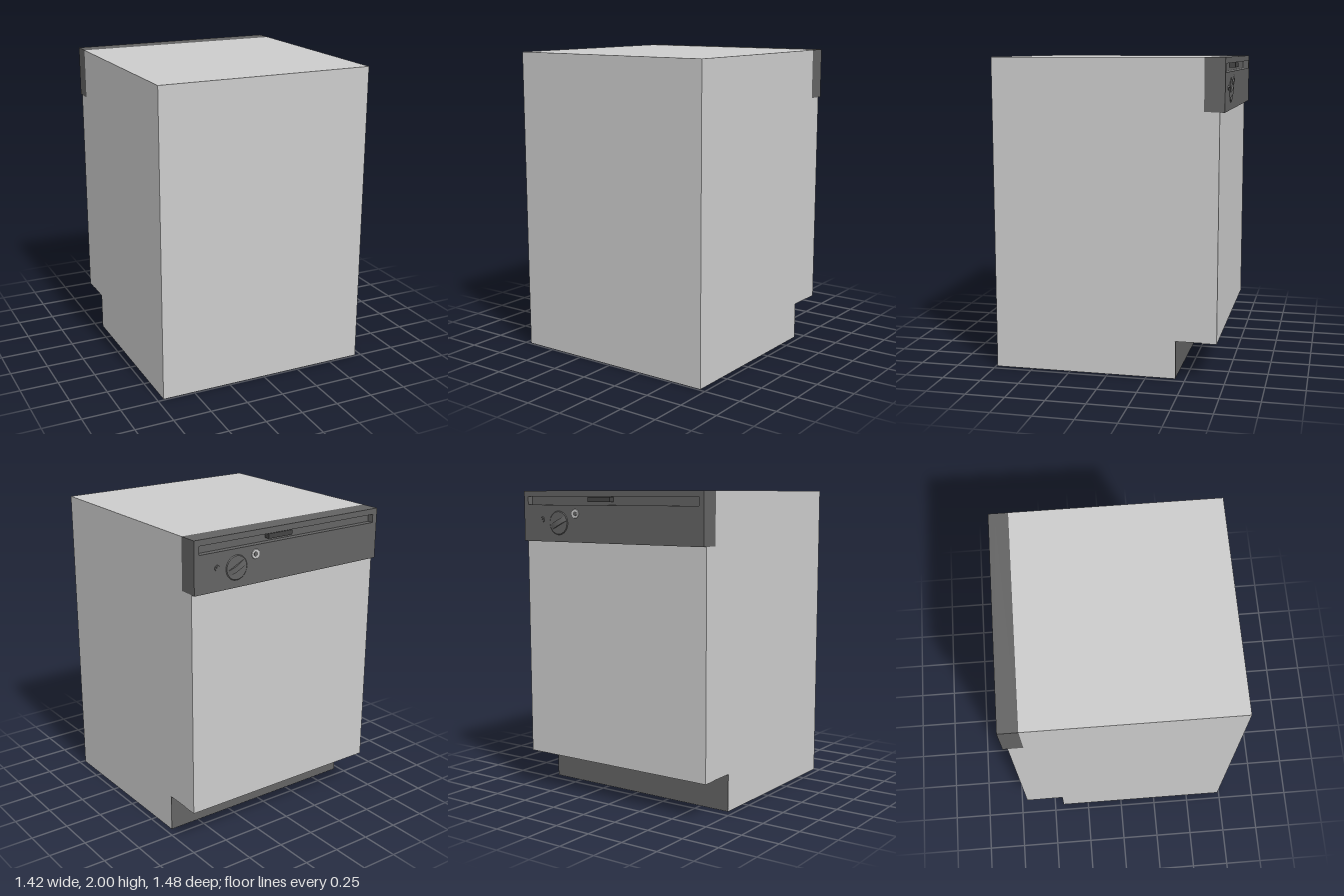
import * as THREE from 'three';

const grey = new THREE.MeshStandardMaterial({ color: 0xcccccc });
const dark = new THREE.MeshStandardMaterial({ color: 0x636363 });
const black = new THREE.MeshStandardMaterial({ color: 0x444444 });

const W = 1.42;          // overall width
const FACE = -0.725;     // plane of the control panel face

export function createModel() {
  const model = new THREE.Group();
  model.name = 'dishwasher';

  const add = (name, geometry, material, x = 0, y = 0, z = 0, parent = model) => {
    const mesh = new THREE.Mesh(geometry, material);
    mesh.name = name;
    mesh.position.set(x, y, z);
    parent.add(mesh);
    return mesh;
  };
  // box given by its y and z limits, centred on x
  const slab = (name, material, w, y0, y1, z0, z1, x = 0) =>
    add(name, new THREE.BoxGeometry(w, y1 - y0, z1 - z0), material, x, (y0 + y1) / 2, (z0 + z1) / 2);
  // disc or boss standing out of the panel face
  const boss = (name, r0, r1, depth, material, x, y) => {
    const g = new THREE.CylinderGeometry(r1, r0, depth, 32).rotateX(-Math.PI / 2);
    return add(name, g, material, x, y, FACE - depth / 2);
  };

  // cabinet: side profile with the toe recess, extruded across the width
  const profile = new THREE.Shape([
    [-0.74, 0], [0.435, 0], [0.435, 0.243], [0.6, 0.243], [0.6, 2], [-0.74, 2],
  ].map(([a, b]) => new THREE.Vector2(a, b)));
  const cabinet = new THREE.ExtrudeGeometry(profile, { depth: W, bevelEnabled: false });
  cabinet.translate(0, 0, -W / 2).rotateY(Math.PI / 2);
  add('cabinet', cabinet, grey);

  slab('toeKick', dark, W, 0.002, 0.24, -0.437, -0.434);
  slab('door', grey, W, 0.24, 1.675, -0.695, -0.6);

  // control panel: solid back with a slotted front plate
  const slotBack = FACE + 0.04;
  slab('panelBack', dark, W, 1.673, 2, slotBack, -0.6);
  const plate = new THREE.Shape([
    [-W / 2, 1.673], [W / 2, 1.673], [W / 2, 2], [-W / 2, 2],
  ].map(([a, b]) => new THREE.Vector2(a, b)));
  plate.holes.push(new THREE.Path([
    [-0.675, 1.91], [-0.675, 1.963], [0.675, 1.963], [0.675, 1.91],
  ].map(([a, b]) => new THREE.Vector2(a, b))));
  add('panelFront', new THREE.ExtrudeGeometry(plate, { depth: 0.04, bevelEnabled: false }),
    dark, 0, 0, FACE);

  // latch inside the handle slot
  slab('latch', black, 0.18, 1.93, 1.96, FACE + 0.003, slotBack, 0.08);

  // dial with an arched, tilted grip
  boss('dial', 0.077, 0.072, 0.004, dark, 0.41, 1.795);
  const arch = new THREE.Shape();
  arch.moveTo(-0.07, 0);
  arch.quadraticCurveTo(0, 0.028, 0.07, 0);
  const grip = new THREE.ExtrudeGeometry(arch, { depth: 0.034, bevelEnabled: false, curveSegments: 16 });
  grip.translate(0, 0, -0.017).rotateX(-Math.PI / 2);
  add('dialGrip', grip, dark, 0.41, 1.795, FACE - 0.002).rotation.z = -0.45;

  // round status button with a ring
  boss('buttonRing', 0.03, 0.028, 0.003, grey, 0.27, 1.855);
  boss('buttonCap', 0.016, 0.014, 0.005, dark, 0.27, 1.855);

  // small switch
  boss('switchBase', 0.018, 0.016, 0.004, dark, 0.55, 1.815);
  boss('switchTip', 0.01, 0.007, 0.009, dark, 0.55, 1.822);

  return model;
}
